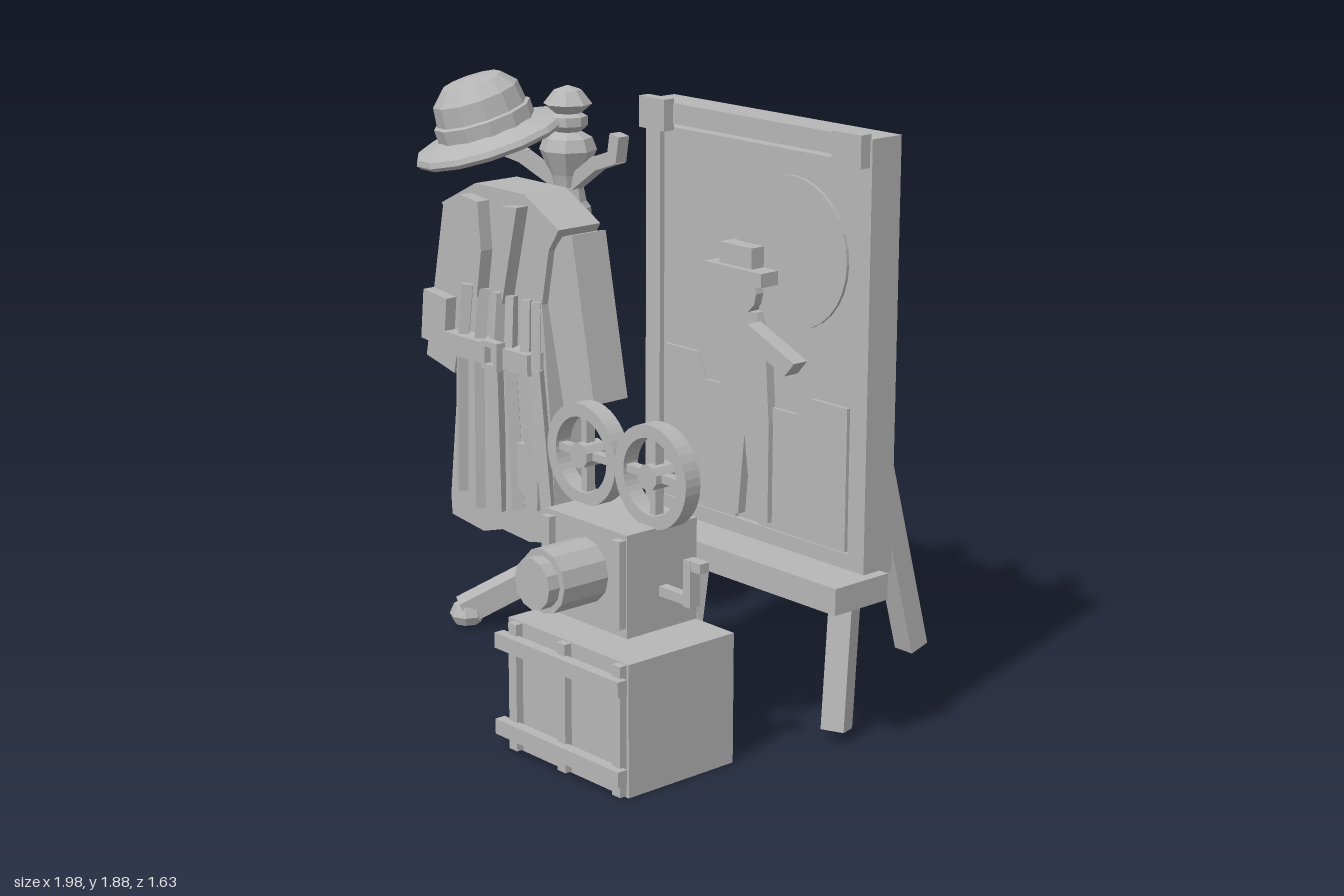
import * as THREE from 'three';

const grey = new THREE.MeshStandardMaterial({ color: 0xb6b6b6, flatShading: true, side: THREE.DoubleSide });
grey.name = 'plain light grey';

function add(parent, name, geometry, x = 0, y = 0, z = 0) {
  const m = new THREE.Mesh(geometry, grey);
  m.name = name;
  m.position.set(x, y, z);
  parent.add(m);
  return m;
}
// Box given by its limits on each axis
const box = (p, name, x0, x1, y0, y1, z0, z1) =>
  add(p, name, new THREE.BoxGeometry(x1 - x0, y1 - y0, z1 - z0), (x0 + x1) / 2, (y0 + y1) / 2, (z0 + z1) / 2);
// Outline in x,y extruded from z0 to z1
function plate(p, name, pts, z0, z1) {
  const shape = new THREE.Shape(pts.map(([x, y]) => new THREE.Vector2(x, y)));
  return add(p, name, new THREE.ExtrudeGeometry(shape, { depth: z1 - z0, bevelEnabled: false }), 0, 0, z0);
}
// Square bar from a to b
function beam(p, name, a, b, w, h = w) {
  const A = new THREE.Vector3(...a), B = new THREE.Vector3(...b);
  const m = add(p, name, new THREE.BoxGeometry(w, h, A.distanceTo(B)));
  m.position.copy(A).add(B).multiplyScalar(0.5);
  m.lookAt(B);
  return m;
}
const lathe = (p, name, pts, n, x, y, z) =>
  add(p, name, new THREE.LatheGeometry(pts.map(([r, h]) => new THREE.Vector2(r, h)), n), x, y, z);
// Cylinder lying along z
function discZ(p, name, r, x, y, z0, z1, n) {
  const g = new THREE.CylinderGeometry(r, r, z1 - z0, n).rotateX(Math.PI / 2);
  return add(p, name, g, x, y, (z0 + z1) / 2);
}
function group(parent, name) {
  const g = new THREE.Group();
  g.name = name;
  parent.add(g);
  return g;
}

function coatStand(root) {
  const g = group(root, 'coatStand');
  const cx = -0.555, cz = -0.185;
  // Turned pole with base hub, collar, vase and finial
  lathe(g, 'pole', [[0, 0.085], [0.085, 0.085], [0.105, 0.13], [0.105, 0.18], [0.085, 0.26], [0.058, 0.265],
    [0.053, 1.34], [0.075, 1.35], [0.075, 1.43], [0.06, 1.45], [0.05, 1.5], [0.06, 1.54], [0.095, 1.62], [0.08, 1.66],
    [0.045, 1.68], [0.065, 1.7], [0.065, 1.73], [0.045, 1.74], [0.08, 1.77], [0.045, 1.815], [0, 1.83]], 8, cx, 0, cz);
  // Three splayed feet
  for (let i = 0; i < 3; i++) {
    const a = i * Math.PI * 2 / 3, c = Math.cos(a), s = Math.sin(a);
    beam(g, 'foot', [cx + 0.05 * c, 0.205, cz + 0.05 * s], [cx + 0.37 * c, 0.055, cz + 0.37 * s], 0.085, 0.08);
    lathe(g, 'footPad', [[0, 0.01], [0.045, 0.015], [0.06, 0.045], [0.045, 0.08], [0, 0.09]], 8,
      cx + 0.355 * c, 0, cz + 0.355 * s);
  }
  // Bent hooks
  for (const a of [0, Math.PI * 0.8]) {
    const at = (r, y) => [cx + r * Math.cos(a), y, cz + r * Math.sin(a)];
    beam(g, 'hookArm', at(0.03, 1.51), at(0.16, 1.6), 0.045);
    beam(g, 'hookReach', at(0.14, 1.59), at(0.255, 1.63), 0.045);
    beam(g, 'hookTip', at(0.24, 1.615), at(0.255, 1.7), 0.045);
  }
}

function hat(root) {
  const g = group(root, 'hat');
  lathe(g, 'brim', [[0, -0.02], [0.245, -0.025], [0.258, -0.01], [0.25, 0.008], [0.16, 0.035]], 14, 0, 0, 0);
  lathe(g, 'crown', [[0, 0], [0.165, 0.01], [0.165, 0.08], [0.153, 0.085], [0.145, 0.15], [0.1, 0.195], [0, 0.205]], 12, 0, 0, 0);
  g.position.set(-0.747, 1.655, -0.012);
  g.rotation.set(0.27, 0, 0.15);
}

function coat(root) {
  const g = group(root, 'coat');
  const cx = -0.555;
  const flip = pts => pts.map(([x, y]) => [2 * cx - x, y]).reverse();
  plate(g, 'coatBody', [[-0.835, 0.44], [-0.83, 0.37], [-0.66, 0.35], [-0.56, 0.38], [-0.42, 0.37], [-0.28, 0.4],
    [-0.3, 0.72], [-0.345, 1.18], [-0.31, 1.36], [-0.26, 1.435], [-0.43, 1.525], [-0.68, 1.525], [-0.86, 1.435],
    [-0.8, 1.36], [-0.78, 1.18], [-0.8, 0.75]], -0.07, 0.103);
  // Mirrored sleeves and lapels
  const sleeve = [[-0.345, 1.18], [-0.27, 0.855], [-0.12, 0.89], [-0.225, 1.42], [-0.27, 1.41], [-0.315, 1.36]];
  const lapel = [[-0.49, 1.165], [-0.41, 1.49], [-0.5, 1.48], [-0.515, 1.32]];
  for (const f of [p => p, flip]) {
    plate(g, 'sleeve', f(sleeve), -0.062, 0.078);
    plate(g, 'lapel', f(lapel), 0.1, 0.15);
  }
  const patch = box(g, 'sleevePatch', -0.955, -0.83, 0.955, 1.125, 0.07, 0.12);
  patch.rotation.z = -0.1;
  // Pleats fanning out below the chest
  [[-0.705, -0.75], [-0.62, -0.655], [-0.54, -0.55], [-0.475, -0.455], [-0.4, -0.365], [-0.355, -0.3]].forEach(([t, b], i) => {
    const low = [0.48, 0.44, 0.45, 0.48, 0.5, 0.48][i], m = t + (b - t) * 0.3;
    beam(g, 'upperPleat', [t, 1.19, 0.12], [m, 0.97, 0.135], 0.03, 0.035);
    beam(g, 'lowerPleat', [m, 0.97, 0.135], [b, low, 0.118], 0.03, 0.04);
  });
  box(g, 'belt', -0.775, -0.34, 0.955, 1.025, 0.1, 0.17);
  // Open buckle
  for (const y of [0.95, 1.025]) box(g, 'buckleBar', -0.545, -0.465, y, y + 0.018, 0.16, 0.195);
  for (const x of [-0.545, -0.483]) box(g, 'buckleSide', x, x + 0.018, 0.95, 1.043, 0.16, 0.195);
  plate(g, 'pocket', [[-0.44, 0.56], [-0.34, 0.5], [-0.33, 0.71], [-0.44, 0.71]], 0.1, 0.135);
}

function easel(root) {
  const g = group(root, 'easel');
  const cx = 0.4725;
  // Frame with recessed panel
  box(g, 'panel', 0.05, 0.895, 0.6, 1.79, -0.13, -0.06);
  box(g, 'topRail', -0.01, 0.955, 1.805, 1.868, -0.16, -0.042);
  box(g, 'bottomRail', -0.01, 0.955, 0.56, 0.62, -0.16, -0.042);
  for (const s of [-1, 1]) {
    const x = cx + s * 0.45;
    box(g, 'stile', x - 0.033, x + 0.033, 0.56, 1.868, -0.16, -0.042);
    const c = cx + s * 0.416;
    box(g, 'cornerClamp', c - 0.058, c + 0.058, 1.785, 1.882, -0.045, -0.005);
    beam(g, 'frontLeg', [cx + s * 0.347, 0.04, -0.08], [cx + s * 0.265, 1.825, -0.277], 0.075, 0.07);
  }
  box(g, 'tray', -0.05, 0.99, 0.49, 0.572, -0.11, 0.108);
  beam(g, 'backLeg', [cx, 0.045, -0.775], [cx, 1.76, -0.295], 0.076, 0.075);
  // Relief picture: disc, ground shapes and a standing figure
  const p = group(g, 'picture');
  discZ(p, 'pictureDisc', 0.23, 0.625, 1.487, -0.07, -0.05, 32);
  plate(p, 'leftGround', [[0.07, 0.62], [0.4, 0.62], [0.4, 1.03], [0.26, 1.03], [0.22, 1.11], [0.07, 1.11]], -0.07, -0.048);
  plate(p, 'rightGround', [[0.5, 0.62], [0.87, 0.62], [0.87, 1.06], [0.72, 1.06], [0.66, 1.0], [0.5, 1.0]], -0.07, -0.048);
  plate(p, 'figureBody', [[0.36, 0.64], [0.43, 0.64], [0.455, 0.9], [0.49, 0.64], [0.56, 0.64], [0.56, 0.95],
    [0.545, 1.15], [0.5, 1.285], [0.38, 1.285], [0.345, 1.02]], -0.07, -0.03);
  discZ(p, 'figureHead', 0.07, 0.44, 1.345, -0.07, -0.02, 12);
  box(p, 'figureHatBrim', 0.322, 0.572, 1.38, 1.423, -0.07, 0.02);
  box(p, 'figureHatCrown', 0.37, 0.51, 1.423, 1.487, -0.07, 0);
  plate(p, 'figureArm', [[0.485, 1.21], [0.67, 1.13], [0.71, 1.175], [0.51, 1.26]], -0.04, 0.015);
}

function crate(root) {
  const g = group(root, 'crate');
  box(g, 'crateBox', 0.2, 0.745, 0.005, 0.413, 0.28, 0.69);
  for (const y of [0.053, 0.327]) box(g, 'slat', 0.195, 0.755, y, y + 0.048, 0.705, 0.74);
  for (const x of [0.23, 0.455, 0.7]) box(g, 'batten', x, x + 0.036, 0.01, 0.41, 0.68, 0.715);
}

function projector(root) {
  const g = group(root, 'projector');
  box(g, 'projectorBody', 0.29, 0.652, 0.448, 0.76, 0.345, 0.615);
  for (const x of [0.297, 0.612]) box(g, 'frontTrim', x, x + 0.036, 0.48, 0.745, 0.61, 0.64);
  discZ(g, 'lensBarrel', 0.098, 0.472, 0.615, 0.61, 0.78, 12);
  discZ(g, 'lensRim', 0.078, 0.472, 0.615, 0.775, 0.82, 12);
  // Spoked reels
  for (const x of [0.32, 0.625]) {
    const reel = group(g, 'reel');
    const ring = new THREE.Shape().absarc(0, 0, 0.155, 0, Math.PI * 2);
    ring.holes.push(new THREE.Path().absarc(0, 0, 0.115, 0, Math.PI * 2, true));
    add(reel, 'reelRim', new THREE.ExtrudeGeometry(ring, { depth: 0.056, bevelEnabled: false, curveSegments: 20 }), 0, 0, -0.028);
    discZ(reel, 'reelHub', 0.04, 0, 0, -0.038, 0.038, 10);
    box(reel, 'spoke', -0.12, 0.12, -0.012, 0.012, -0.016, 0.016);
    box(reel, 'spoke', -0.012, 0.012, -0.12, 0.12, -0.016, 0.016);
    reel.position.set(x, 0.907, 0.477);
  }
  // Side crank
  box(g, 'crankShaft', 0.64, 0.78, 0.552, 0.582, 0.462, 0.492);
  box(g, 'crankArm', 0.76, 0.79, 0.55, 0.69, 0.457, 0.497);
  box(g, 'crankHandle', 0.77, 0.83, 0.662, 0.692, 0.46, 0.495);
}

export function createModel() {
  const root = new THREE.Group();
  root.name = 'filmSetProps';
  for (const part of [coatStand, hat, coat, easel, crate, projector]) part(root);
  return root;
}
